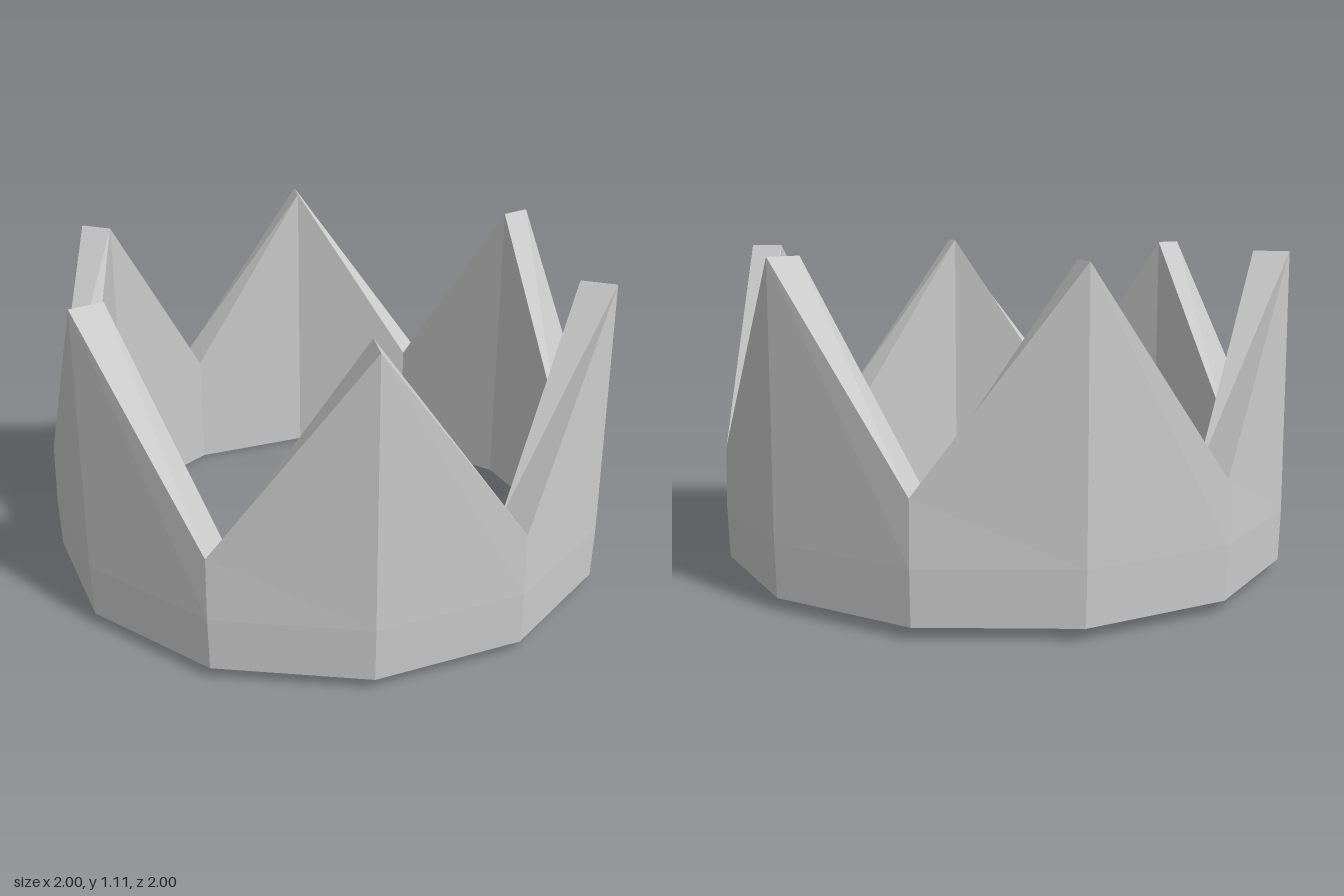
import * as THREE from 'three';

const SIDES = 12;
const OUTER = 1, RIM = 0.995, INNER = 0.875;
const PEAK = 1.11, VALLEY = 0.43;

// Closed wall section [radius, y] at corner i: peaks and valleys alternate
function section(i) {
  const top = i % 2 === 0 ? PEAK : VALLEY;
  return [[INNER, 0], [RIM, 0.04], [OUTER, 0.22], [RIM, top], [INNER, top]];
}

// Loft the sections around the ring
function crownGeometry() {
  const positions = [], indices = [];
  const count = section(0).length;
  for (let i = 0; i < SIDES; i++) {
    const angle = (i / SIDES) * Math.PI * 2;
    const next = (i + 1) % SIDES;
    section(i).forEach(([r, y], j) => {
      positions.push(r * Math.cos(angle), y, r * Math.sin(angle));
      const k = (j + 1) % count;
      const a = i * count + j, b = i * count + k;
      const c = next * count + k, d = next * count + j;
      indices.push(a, b, c, a, c, d);
    });
  }
  const geometry = new THREE.BufferGeometry();
  geometry.setAttribute('position', new THREE.Float32BufferAttribute(positions, 3));
  geometry.setIndex(indices);
  const faceted = geometry.toNonIndexed();
  faceted.computeVertexNormals();
  return faceted;
}

export function createModel() {
  const group = new THREE.Group();
  group.name = 'crown';

  // Six-pointed band with a bevelled underside
  const band = new THREE.Mesh(
    crownGeometry(),
    new THREE.MeshStandardMaterial({ color: 0xcccccc, flatShading: true })
  );
  band.name = 'pointedBand';
  group.add(band);
  return group;
}
